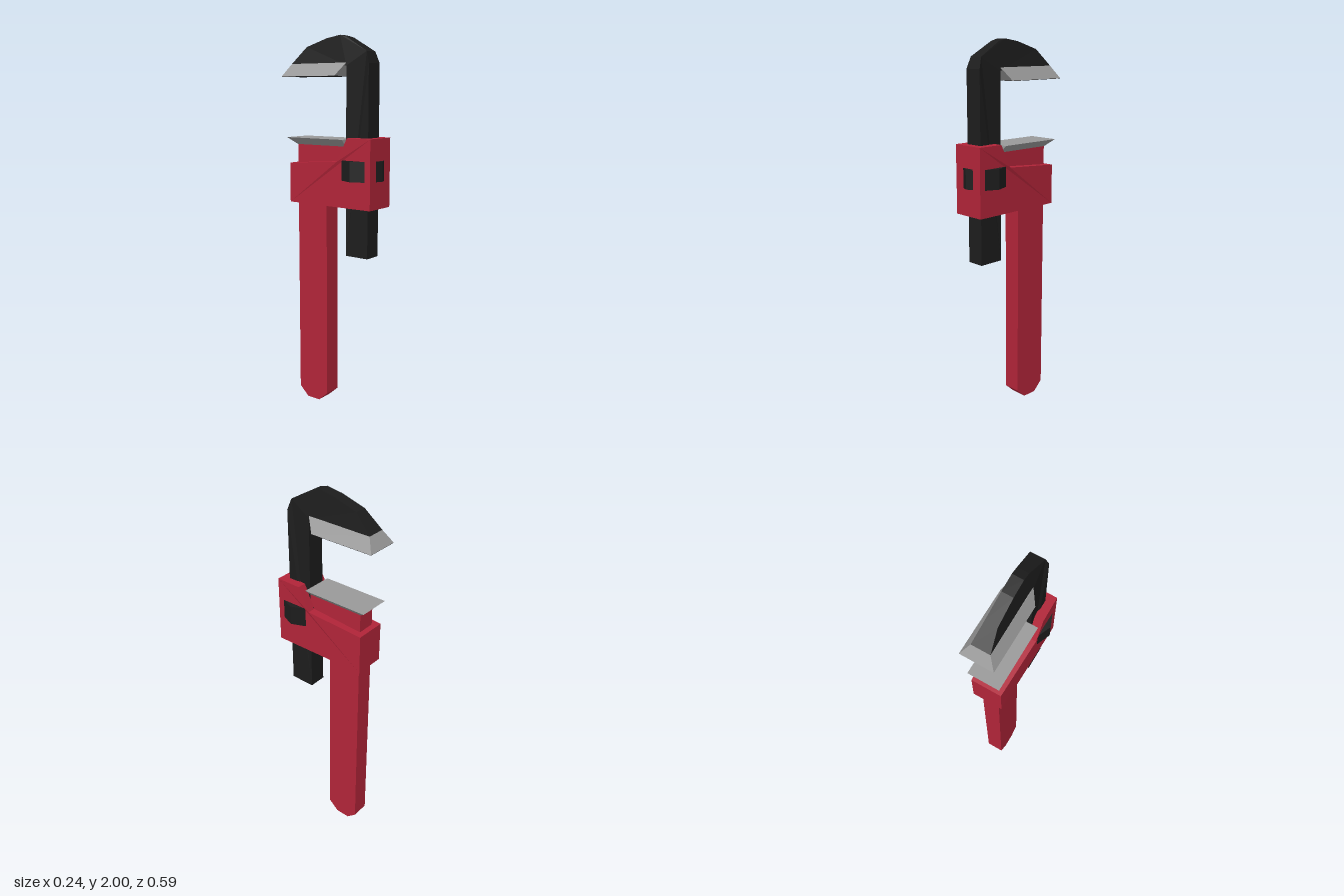
import * as THREE from 'three';

const paint = (color) => new THREE.MeshStandardMaterial({ color, flatShading: true });

// Extrude a side profile of [z, y] points across x; halfWidth(z, y) sets the thickness.
function slab(profile, halfWidth) {
  const shape = new THREE.Shape(profile.map(([z, y]) => new THREE.Vector2(-z, y)));
  const geo = new THREE.ExtrudeGeometry(shape, { depth: 2, bevelEnabled: false });
  geo.translate(0, 0, -1).rotateY(Math.PI / 2);
  const p = geo.attributes.position;
  for (let i = 0; i < p.count; i++) p.setX(i, p.getX(i) * halfWidth(p.getZ(i), p.getY(i)));
  geo.computeVertexNormals();
  return geo;
}

// Six-sided block with separate bottom and top rectangles: { y, w, z0, z1 }.
function wedge(bottom, top) {
  const geo = new THREE.BoxGeometry(2, 1, 1).toNonIndexed();
  const p = geo.attributes.position;
  for (let i = 0; i < p.count; i++) {
    const r = p.getY(i) > 0 ? top : bottom;
    p.setXYZ(i, p.getX(i) * r.w, r.y, p.getZ(i) > 0 ? r.z1 : r.z0);
  }
  geo.computeVertexNormals();
  return geo;
}

export function createModel() {
  const model = new THREE.Group();
  const red = paint(0xb02438), black = paint(0x1c1c1c), steel = paint(0x999999);
  const add = (name, geo, mat) => {
    const mesh = new THREE.Mesh(geo, mat);
    mesh.name = name;
    model.add(mesh);
    return mesh;
  };
  const thin = 0.048;

  // Handle with chamfered foot
  add('handle', slab([
    [-0.025, 1.2], [-0.025, 0.052], [-0.082, 0], [-0.163, 0], [-0.218, 0.052], [-0.218, 1.2],
  ], () => thin), red);

  // Housing, slightly swollen beside the sliding bar
  add('housing', slab([
    [0.282, 1.127], [0.282, 1.487], [0.14, 1.487], [0.077, 1.365],
    [-0.247, 1.34], [-0.247, 1.127],
  ], (z) => (z > 0.2 ? 0.09 : z > 0 ? 0.093 : 0.083)), red);

  // Neck carrying the lower jaw
  add('neck', slab([[0.102, 1.25], [0.102, 1.442], [-0.218, 1.442], [-0.218, 1.25]], () => thin), red);

  // Sliding bar with hooked head, thinning towards its crown
  add('hookBar', slab([
    [0.24, 0.865], [0.24, 1.857], [0.22, 1.915], [0.093, 1.988], [0.05, 2], [-0.035, 1.987],
    [-0.167, 1.947], [-0.257, 1.862], [0.103, 1.847], [0.103, 0.865],
  ], (z, y) => THREE.MathUtils.mapLinear(THREE.MathUtils.clamp(y, 1.862, 1.96), 1.862, 1.96, thin, 0.029)), black);

  // Flared jaws
  add('upperJaw', wedge(
    { y: 1.797, w: 0.086, z0: -0.297, z1: 0.055 },
    { y: 1.862, w: thin, z0: -0.257, z1: 0.102 }), steel);
  add('upperJawFace', wedge(
    { y: 1.795, w: 0.085, z0: -0.296, z1: 0.055 },
    { y: 1.799, w: 0.084, z0: -0.295, z1: 0.055 }), black);
  add('lowerJaw', wedge(
    { y: 1.44, w: thin, z0: -0.22, z1: 0.102 },
    { y: 1.477, w: 0.086, z0: -0.265, z1: 0.102 }), steel);

  // Octagonal adjusting nut showing through the housing
  const nut = add('adjustingNut', new THREE.CylinderGeometry(0.119, 0.119, 0.104, 8), black);
  nut.position.set(0, 1.321, 0.178);

  return model;
}
